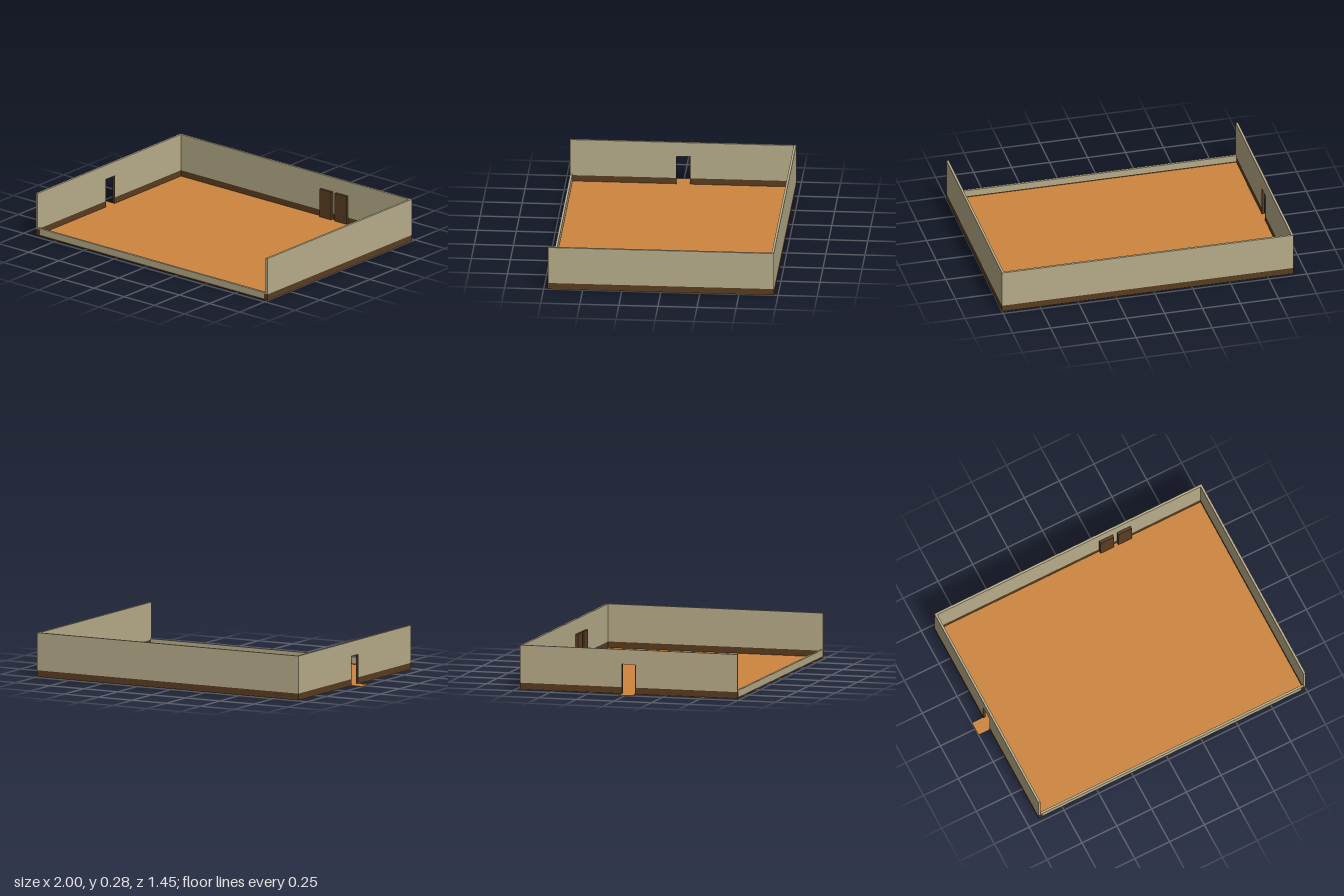
import * as THREE from 'three';

export function createModel() {
  const room = new THREE.Group();
  room.name = 'openRoom';
  const mat = (name, color) => {
    const m = new THREE.MeshStandardMaterial({ color });
    m.name = name;
    return m;
  };
  const wall = mat('wallTan', 0xb8ad8a);
  const dark = mat('darkWood', 0x593d20);
  const wood = mat('floorWood', 0xcd853f);

  // Box given by its lower and upper corners
  const box = (name, material, [x0, y0, z0], [x1, y1, z1]) => {
    const mesh = new THREE.Mesh(new THREE.BoxGeometry(x1 - x0, y1 - y0, z1 - z0), material);
    mesh.position.set((x0 + x1) / 2, (y0 + y1) / 2, (z0 + z1) / 2);
    mesh.name = name;
    room.add(mesh);
  };

  const L = -0.92, R = 1, B = -0.723, F = 0.723, T = 0.015; // footprint and wall thickness
  const floor = 0.002, skirt = 0.042, top = 0.285;
  const d0 = -0.047, d1 = 0.047, doorTop = 0.19;            // doorway in the -x wall

  // Thin wooden floor, running out through the doorway as a step
  box('floor', wood, [L, 0, B], [R, floor, F]);
  box('doorStep', wood, [-1, 0, d0], [L, floor, d1]);

  // Walls: dark skirting below, tan above
  const run = (name, x0, z0, x1, z1) => {
    box(name + 'Skirting', dark, [x0, floor, z0], [x1, skirt, z1]);
    box(name, wall, [x0, skirt, z0], [x1, top, z1]);
  };
  run('backWall', L + T, B, R - T, B + T);
  run('plainSideWall', R - T, B, R, F);
  run('doorwayWallRear', L, B, L + T, d0);
  run('doorwayWallFront', L, d1, L + T, F);
  box('doorwayLintel', wall, [L, doorTop, d0], [L + T, top, d1]);

  // Dark lining of the doorway
  for (const [z0, z1] of [[d0, d0 + 0.004], [d1 - 0.004, d1]])
    box('doorwayJamb', dark, [L - 0.001, floor, z0], [L + T + 0.001, doorTop, z1]);

  // Low front kerb on a dark sill, with dark ends
  box('frontSill', dark, [L + T, floor, F - T], [R - T, 0.008, F]);
  box('frontKerb', wall, [L + T, 0.008, F - T], [R - T, 0.05, F]);
  for (const [x0, x1] of [[L, L + 0.028], [R - 0.028, R]])
    box('kerbEnd', dark, [x0, floor, F], [x1, skirt, F + 0.001]);

  // Pair of doors on the back wall
  for (const x of [0.257, 0.385])
    box('door', dark, [x, floor, B + T], [x + 0.097, doorTop, B + T + 0.018]);

  return room;
}
